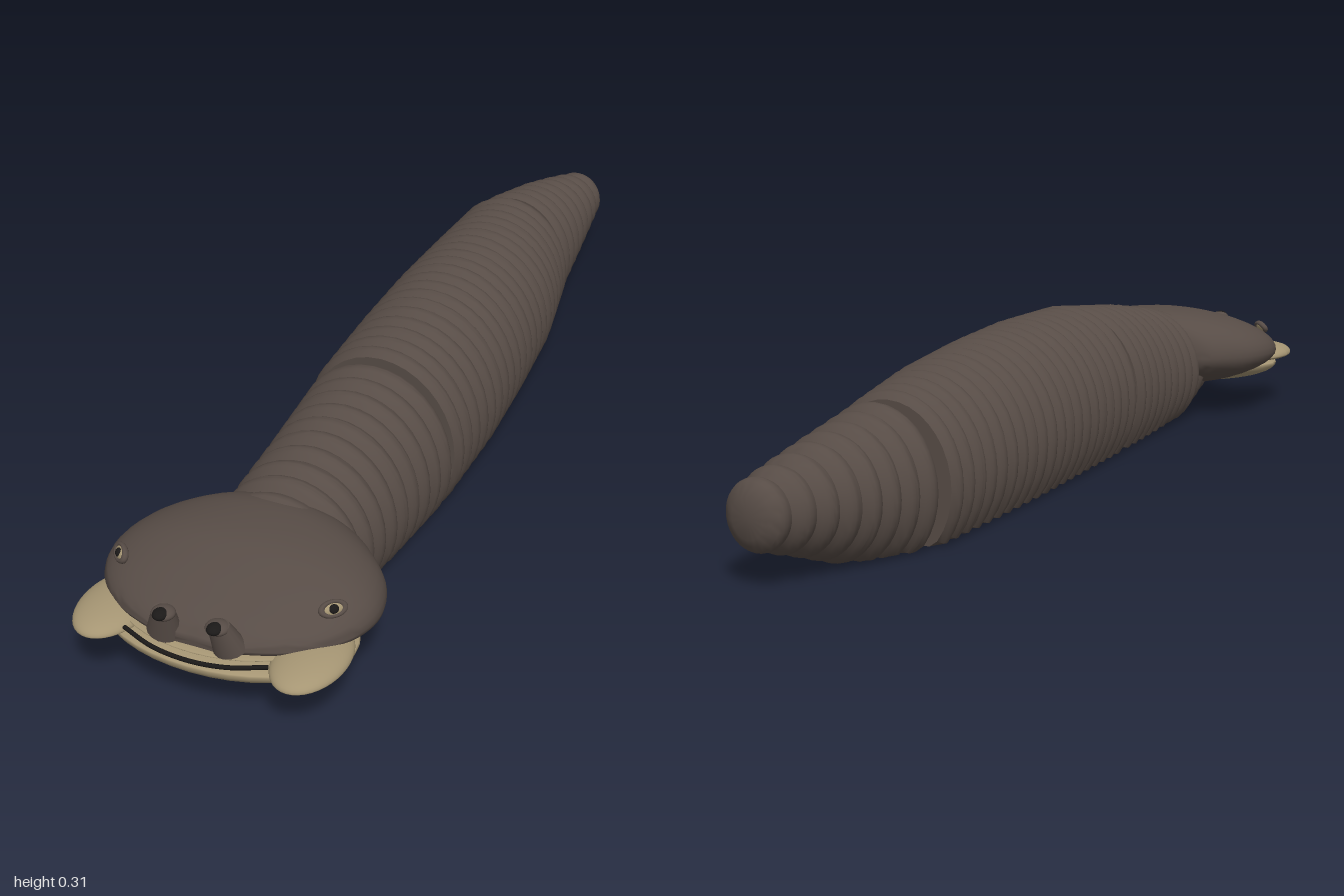
import * as THREE from 'three';
import { toCreasedNormals } from 'three/addons/utils/BufferGeometryUtils.js';

const mat = (name, color) => {
  const m = new THREE.MeshStandardMaterial({ color });
  m.name = name;
  return m;
};

// Interpolate rows of numbers whose first entry is the position along z.
function sample(rows, z) {
  let i = 0;
  while (i < rows.length - 2 && z > rows[i + 1][0]) i++;
  const a = rows[i], b = rows[i + 1];
  const t = THREE.MathUtils.clamp((z - a[0]) / (b[0] - a[0]), 0, 1);
  return a.map((v, k) => v + (b[k] - v) * t);
}

// Skin closed rings (ordered by growing z) and cap both ends.
function loft(rings, crease) {
  const n = rings[0].length, pos = [], idx = [];
  rings.forEach(r => r.forEach(p => pos.push(p.x, p.y, p.z)));
  for (let i = 0; i < rings.length - 1; i++) {
    for (let j = 0; j < n; j++) {
      const a = i * n + j, b = i * n + (j + 1) % n;
      idx.push(a, b, b + n, a, b + n, a + n);
    }
  }
  [0, rings.length - 1].forEach((i, end) => {
    const c = new THREE.Vector3();
    rings[i].forEach(p => c.addScaledVector(p, 1 / n));
    const ci = pos.length / 3;
    pos.push(c.x, c.y, c.z);
    for (let j = 0; j < n; j++) {
      const a = i * n + j, b = i * n + (j + 1) % n;
      if (end) idx.push(ci, a, b); else idx.push(ci, b, a);
    }
  });
  const g = new THREE.BufferGeometry();
  g.setAttribute('position', new THREE.Float32BufferAttribute(pos, 3));
  g.setIndex(idx);
  return toCreasedNormals(g, crease);
}

// Ringed body section with a flat belly; rows: z, centre x, half width, top, bottom.
function bodySection(rows, ridges, tilt) {
  const rings = [], sub = 6, around = 36;
  const z0 = rows[0][0], z1 = rows[rows.length - 1][0];
  for (let i = 0; i <= ridges * sub; i++) {
    const z = z0 + (z1 - z0) * i / (ridges * sub);
    const [, cx, hw, top, bot] = sample(rows, z);
    const bulge = 0.011 * Math.sin(Math.PI * (i % sub) / sub) - 0.004;
    const ring = [];
    for (let j = 0; j < around; j++) {
      const a = j / around * Math.PI * 2;
      const x = Math.cos(a) * (hw + bulge);
      const y = (top + bot) / 2 + Math.sin(a) * ((top - bot) / 2 + bulge);
      ring.push(new THREE.Vector3(cx + x, Math.max(0, y), z + tilt * x));
    }
    rings.push(ring);
  }
  return loft(rings, 0.6);
}

export function createModel() {
  const root = new THREE.Group();
  const skin = mat('dark brown skin', 0x574c46);
  const tan = mat('tan lips', 0xa59573);
  const black = mat('black', 0x1b1918);

  function add(parent, name, geo, material, p = [0, 0, 0], s = [1, 1, 1], r = [0, 0, 0]) {
    const m = new THREE.Mesh(geo, material);
    m.name = name;
    m.position.set(...p);
    m.scale.set(...s);
    m.rotation.set(...r);
    parent.add(m);
    return m;
  }
  const ball = new THREE.SphereGeometry(1, 40, 24);

  // Three ringed body sections
  add(root, 'tail', bodySection([
    [-0.99, -0.003, 0.036, 0.16, 0.08], [-0.975, -0.003, 0.05, 0.173, 0.067],
    [-0.9, -0.015, 0.072, 0.193, 0.045], [-0.8, -0.028, 0.096, 0.217, 0.01],
    [-0.64, -0.04, 0.124, 0.25, -0.04]], 8, 0.1), skin);
  add(root, 'middleBody', bodySection([
    [-0.62, -0.043, 0.132, 0.255, -0.045], [-0.4, -0.02, 0.154, 0.278, -0.055],
    [-0.2, -0.008, 0.163, 0.293, -0.06], [0, 0.004, 0.166, 0.3, -0.06],
    [0.226, 0.011, 0.16, 0.298, -0.06]], 20, 0.05), skin);
  add(root, 'frontBody', bodySection([
    [0.247, 0.012, 0.157, 0.293, -0.06], [0.45, 0.01, 0.142, 0.27, -0.05],
    [0.6, 0.005, 0.134, 0.245, -0.03], [0.7, 0, 0.122, 0.22, 0.02],
    [0.8, 0, 0.1, 0.19, 0.065]], 13, 0.02), skin);

  // Slim joints between the sections
  const joint = new THREE.CylinderGeometry(0.025, 0.025, 0.06, 12);
  add(root, 'frontJoint', joint, skin, [0.01, 0.12, 0.236], [1, 1, 1], [Math.PI / 2, 0, 0]);
  add(root, 'tailJoint', joint, skin, [-0.04, 0.11, -0.63], [1, 1, 1], [Math.PI / 2, 0, 0]);

  // Broad flat head; rows: half width, top, bottom, z
  const keys = [
    [0.1, 0.19, 0.11, 0.6], [0.155, 0.218, 0.09, 0.617], [0.195, 0.233, 0.073, 0.65],
    [0.235, 0.238, 0.062, 0.7], [0.253, 0.234, 0.07, 0.77], [0.24, 0.216, 0.09, 0.83],
    [0.205, 0.195, 0.108, 0.88], [0.15, 0.175, 0.117, 0.92], [0.07, 0.152, 0.126, 0.95]];
  const rails = [0, 1, 2].map(k =>
    new THREE.CatmullRomCurve3(keys.map(q => new THREE.Vector3(q[k], 0, q[3]))));
  const headRings = [];
  for (let i = 0; i <= 28; i++) {
    const [w, t, b] = rails.map(c => c.getPoint(i / 28));
    const ring = [];
    for (let j = 0; j < 48; j++) {
      const a = j / 48 * Math.PI * 2, s = Math.sin(a);
      const y = 0.14 + s * (s > 0 ? t.x - 0.14 : 0.14 - b.x);
      ring.push(new THREE.Vector3(Math.cos(a) * w.x, y, w.z));
    }
    headRings.push(ring);
  }
  add(root, 'head', loft(headRings, 0.9), skin);

  // Lower jaw: an ellipsoid with a flattened upper half
  const jaw = ball.clone();
  const jp = jaw.attributes.position;
  for (let i = 0; i < jp.count; i++) if (jp.getY(i) > 0) jp.setY(i, jp.getY(i) * 0.35);
  jaw.computeVertexNormals();
  add(root, 'lowerJaw', jaw, tan, [0, 0.104, 0.83], [0.236, 0.05, 0.145]);
  add(root, 'upperLip', ball, tan, [0, 0.126, 0.835], [0.2, 0.009, 0.128]);

  // Mouth line
  const mouth = new THREE.CatmullRomCurve3([[-0.135, 0.125, 0.945], [-0.07, 0.12, 0.967],
    [0, 0.117, 0.973], [0.07, 0.12, 0.967], [0.135, 0.125, 0.945]].map(p => new THREE.Vector3(...p)));
  add(root, 'mouth', new THREE.TubeGeometry(mouth, 24, 0.004, 8), black);

  for (const s of [-1, 1]) {
    const side = s > 0 ? 'left' : 'right';

    // Cheek lobe with a flat underside
    const lobe = ball.clone();
    const lp = lobe.attributes.position;
    for (let i = 0; i < lp.count; i++) if (lp.getY(i) < 0) lp.setY(i, lp.getY(i) * 0.5);
    lobe.computeVertexNormals();
    add(root, side + 'CheekLobe', lobe, tan, [s * 0.185, 0.117, 0.888], [0.063, 0.025, 0.097]);

    // Nostril stalk and opening
    const stalk = new THREE.CylinderGeometry(0.02, 0.032, 0.055, 16);
    add(root, side + 'Nostril', stalk, skin, [s * 0.056, 0.163, 0.945], [1, 1, 0.8], [0.3, 0, s * 0.18]);
    add(root, side + 'NostrilRim', ball, skin, [s * 0.05, 0.187, 0.955], [0.021, 0.011, 0.02]);
    add(root, side + 'NostrilOpening', ball, black, [s * 0.05, 0.19, 0.963], [0.014, 0.009, 0.016]);

    // Eye with lid, facing outward, up and forward
    const eye = new THREE.Group();
    eye.name = side + 'Eye';
    eye.position.set(s * 0.2, 0.187, 0.837);
    eye.lookAt(s * 0.75, 0.65, 1.4);
    add(eye, 'eyelid', new THREE.TorusGeometry(0.02, 0.006, 10, 28), skin, [0, 0, 0], [1, 0.6, 1]);
    add(eye, 'eyeball', ball, tan, [0, 0, 0], [0.019, 0.011, 0.007]);
    add(eye, 'pupil', ball, black, [0, 0, 0.004], [0.009, 0.008, 0.006]);
    root.add(eye);
  }
  return root;
}
